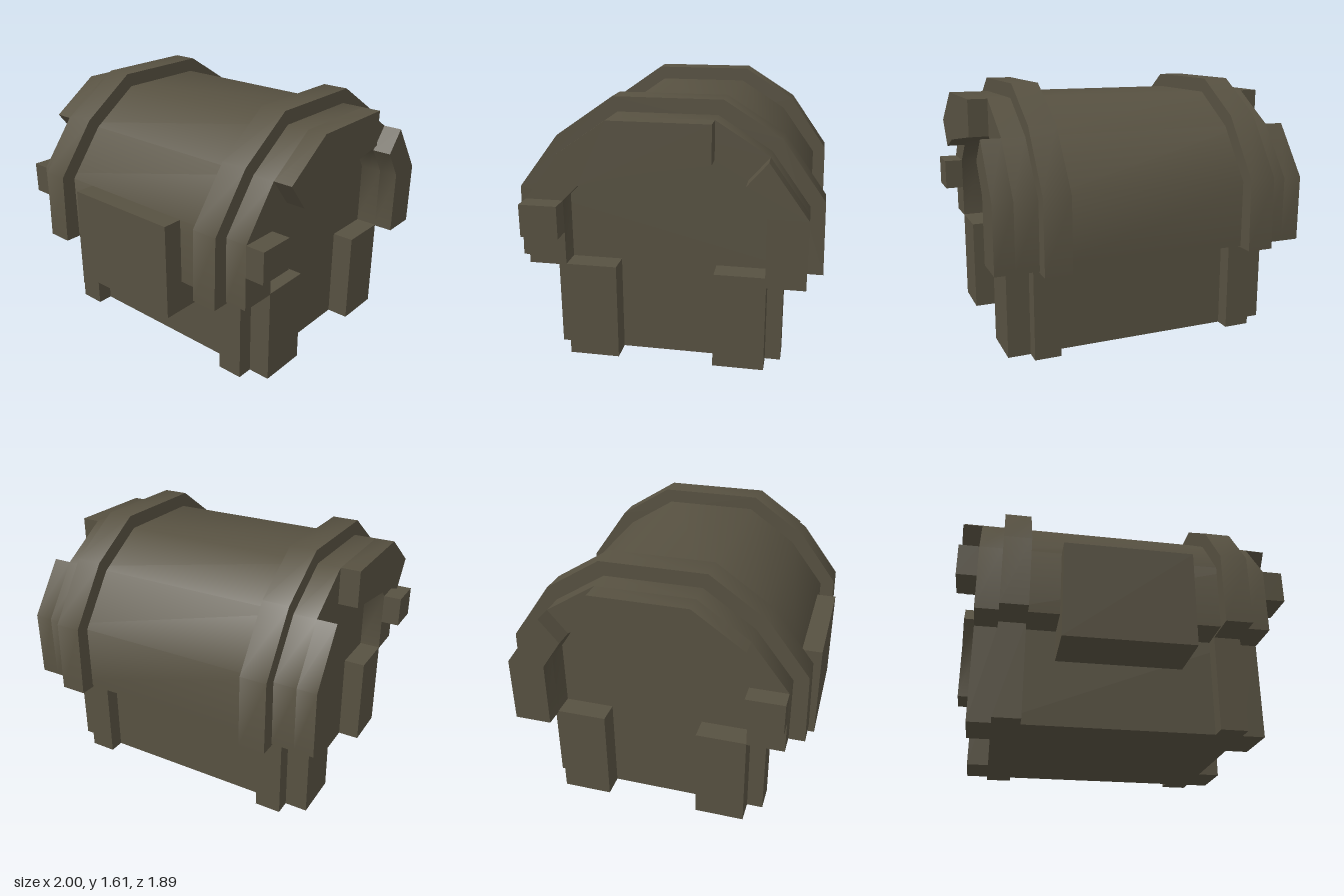
import * as THREE from 'three';
import { toCreasedNormals } from 'three/addons/utils/BufferGeometryUtils.js';

// Profiles as [z, y], running from the front over the top to the back
const LID = [[0.82, 0.6], [0.82, 1.01], [0.59, 1.31], [0.28, 1.525], [-0.31, 1.525], [-0.62, 1.33], [-0.85, 1.01], [-0.85, 0.6]];
const INNER = [[0.59, 0.6], [0.59, 1.01], [0.46, 1.14], [0.27, 1.21], [-0.31, 1.3], [-0.5, 1.19], [-0.62, 1.01], [-0.62, 0.6]];
const BAND = [[0.92, 0.59], [0.91, 1.04], [0.66, 1.37], [0.31, 1.613], [-0.34, 1.613], [-0.68, 1.4], [-0.935, 1.04], [-0.945, 0.59]];

export function createModel() {
  const chest = new THREE.Group();
  chest.name = 'chest';
  const wood = new THREE.MeshStandardMaterial({ color: 0x575141 });
  wood.name = 'dark wood';

  const add = (name, geometry) => {
    const mesh = new THREE.Mesh(geometry, wood);
    mesh.name = name;
    chest.add(mesh);
  };

  // Box given by its limits on each axis
  const box = (name, x0, x1, y0, y1, z0, z1) =>
    add(name, new THREE.BoxGeometry(x1 - x0, y1 - y0, z1 - z0)
      .translate((x0 + x1) / 2, (y0 + y1) / 2, (z0 + z1) / 2));

  // Side profile extruded across x, smooth along the curve
  const slab = (name, points, x0, x1) => {
    const shape = new THREE.Shape(points.map(([z, y]) => new THREE.Vector2(-z, y)));
    const geometry = new THREE.ExtrudeGeometry(shape, { depth: x1 - x0, bevelEnabled: false });
    geometry.rotateY(Math.PI / 2).translate(x0, 0, 0);
    add(name, toCreasedNormals(geometry, 0.82));
  };

  // Part of the lid rim between two profile points
  const rim = (from, to) => [...LID.slice(from, to + 1), ...INNER.slice(from, to + 1).reverse()];

  // Body, lid and lock
  box('body', -0.74, 0.74, 0, 0.6, -0.62, 0.59);
  slab('lid', LID, -0.74, 0.74);
  box('lockPlate', -0.39, 0.39, 0.405, 1.01, 0.58, 0.945);

  for (const side of [1, -1]) {
    const name = side > 0 ? 'left' : 'right';
    const span = (a, b) => (side > 0 ? [a, b] : [-b, -a]);
    const bandSpan = span(0.575, 0.74);
    const legSpan = span(0.74, 0.88);
    const tipSpan = span(0.88, 1);

    // Raised band over the lid and its posts below
    slab(name + 'LidBand', BAND, ...bandSpan);
    box(name + 'FrontPost', ...bandSpan, 0, 0.6, 0.5, 0.69);
    box(name + 'BackPost', ...bandSpan, 0, 0.6, -0.715, -0.5);

    // Corner legs on the end wall
    box(name + 'FrontLeg', ...legSpan, 0, 0.605, 0.28, 0.59);
    box(name + 'BackLeg', ...legSpan, 0, 0.605, -0.62, -0.31);

    // Overhanging rim with broken outer tips
    slab(name + 'LidRim', rim(0, 7), ...legSpan);
    slab(name + 'RimTopTip', rim(2, 4), ...tipSpan);
    slab(name + 'RimBackTip', rim(5, 7), ...tipSpan);
    box(name + 'RimFrontTip', ...tipSpan, 0.81, 1.01, 0.59, 0.82);
  }
  return chest;
}
